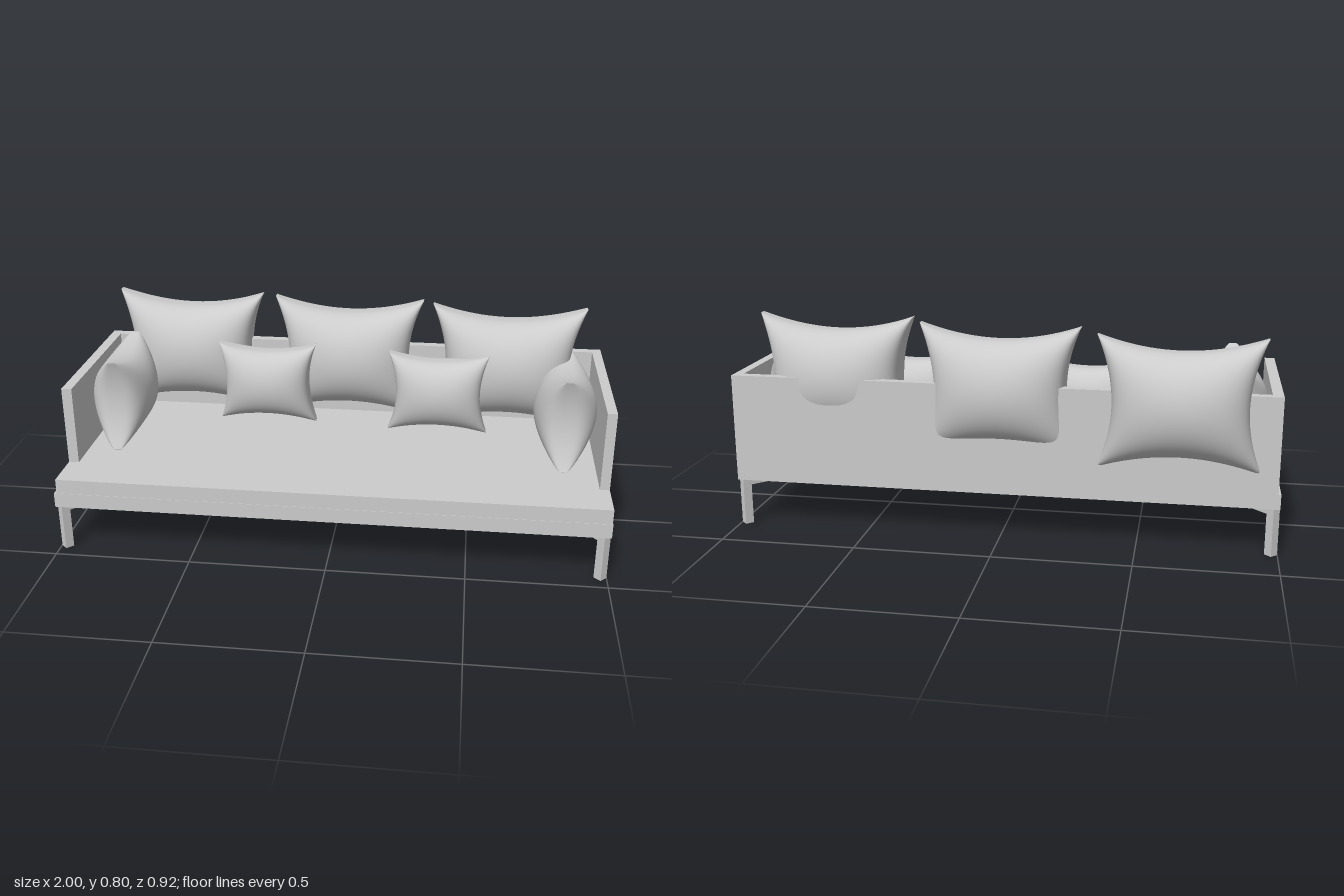
import * as THREE from 'three';

const mat = new THREE.MeshStandardMaterial({ color: 0xcccccc, roughness: 0.8 });

// Box given by its min and max on each axis
function box(name, [x0, x1], [y0, y1], [z0, z1]) {
  const m = new THREE.Mesh(new THREE.BoxGeometry(x1 - x0, y1 - y0, z1 - z0), mat);
  m.name = name;
  m.position.set((x0 + x1) / 2, (y0 + y1) / 2, (z0 + z1) / 2);
  return m;
}

// Pillow: half width w, half height h, half thickness t, edges pulled in by sag
function pillowGeometry(w, h, t, sag, n = 32) {
  const rim = 0.014;
  const pos = [], idx = [];
  const row = n + 1, side = row * row;
  for (const s of [1, -1]) {
    for (let j = 0; j <= n; j++) {
      for (let i = 0; i <= n; i++) {
        // points gather towards the seams
        const u = Math.sin((i / n - 0.5) * Math.PI);
        const v = Math.sin((j / n - 0.5) * Math.PI);
        const a = Math.max(0, 1 - u * u), b = Math.max(0, 1 - v * v);
        pos.push(
          u * (w - sag * b),
          v * (h - sag * a),
          s * (rim + (t - rim) * Math.pow(a, 0.35) * Math.pow(b, 0.5))
        );
      }
    }
  }
  const quad = (a, b, c, d) => idx.push(a, b, c, a, c, d);
  for (let j = 0; j < n; j++) {
    for (let i = 0; i < n; i++) {
      const a = j * row + i, b = a + 1, c = b + row, d = a + row;
      quad(a, b, c, d);
      quad(side + b, side + a, side + d, side + c);
    }
  }
  // seam strip joining both faces
  for (let k = 0; k < n; k++) {
    const edges = [
      [k, k + 1],
      [n * row + k + 1, n * row + k],
      [(k + 1) * row, k * row],
      [k * row + n, (k + 1) * row + n],
    ];
    for (const [p, q] of edges) quad(p, p + side, q + side, q);
  }
  const g = new THREE.BufferGeometry();
  g.setAttribute('position', new THREE.Float32BufferAttribute(pos, 3));
  g.setIndex(idx);
  g.computeVertexNormals();
  return g;
}

function pillow(name, geometry, x, y, z) {
  const m = new THREE.Mesh(geometry, mat);
  m.name = name;
  m.position.set(x, y, z);
  return m;
}

// Square post set diagonally, with a mounting plate pointing inwards
function leg(name, x, z, inX, inZ) {
  const g = new THREE.Group();
  g.name = name;
  g.add(box('post', [-0.016, 0.016], [0, 0.175], [-0.016, 0.016]));
  g.add(box('mountingPlate', [-0.016, 0.085], [0.152, 0.176], [-0.0155, 0.0155]));
  g.position.set(x, 0, z);
  g.rotation.y = Math.atan2(-inZ, inX);
  return g;
}

export function createModel() {
  const model = new THREE.Group();
  model.name = 'sofa';

  // Platform and seat
  model.add(box('baseFrame', [-1, 1], [0.175, 0.23], [-0.33, 0.46]));
  model.add(box('seat', [-0.99, 0.998], [0.23, 0.285], [-0.335, 0.458]));

  // Low arms and back panel
  model.add(box('rightArm', [-0.99, -0.952], [0.285, 0.58], [-0.335, 0.308]));
  model.add(box('leftArm', [0.963, 0.998], [0.285, 0.58], [-0.335, 0.308]));
  model.add(box('backPanel', [-0.952, 0.963], [0.285, 0.58], [-0.335, -0.3]));

  // Legs
  for (const sx of [-1, 1]) {
    const s = sx < 0 ? 'Right' : 'Left';
    model.add(leg('front' + s + 'Leg', sx * 0.977, 0.435, -sx, -1));
    model.add(leg('back' + s + 'Leg', sx * 0.977, -0.313, -sx, 1));
  }

  // Large back cushions, each set a little further forward
  const large = pillowGeometry(0.292, 0.24, 0.155, 0.055);
  model.add(pillow('backCushionRight', large, -0.64, 0.535, -0.307));
  model.add(pillow('backCushionMiddle', large, 0.005, 0.547, -0.252));
  model.add(pillow('backCushionLeft', large, 0.628, 0.555, -0.192));

  // Small scatter cushions
  const small = pillowGeometry(0.19, 0.158, 0.104, 0.03);
  model.add(pillow('smallCushionRight', small, -0.3, 0.482, -0.1));
  model.add(pillow('smallCushionLeft', small, 0.368, 0.482, -0.064));

  // Side cushions leaning on the arms, front corners slightly raised
  const medium = pillowGeometry(0.212, 0.17, 0.116, 0.035);
  for (const [name, x, yaw] of [['sideCushionRight', -0.84, 0.08], ['sideCushionLeft', 0.845, -0.04]]) {
    const c = pillow(name, medium, x, 0.47, 0.018);
    c.rotation.set(0, -Math.PI / 2 + yaw, 0.06);
    model.add(c);
  }
  return model;
}
